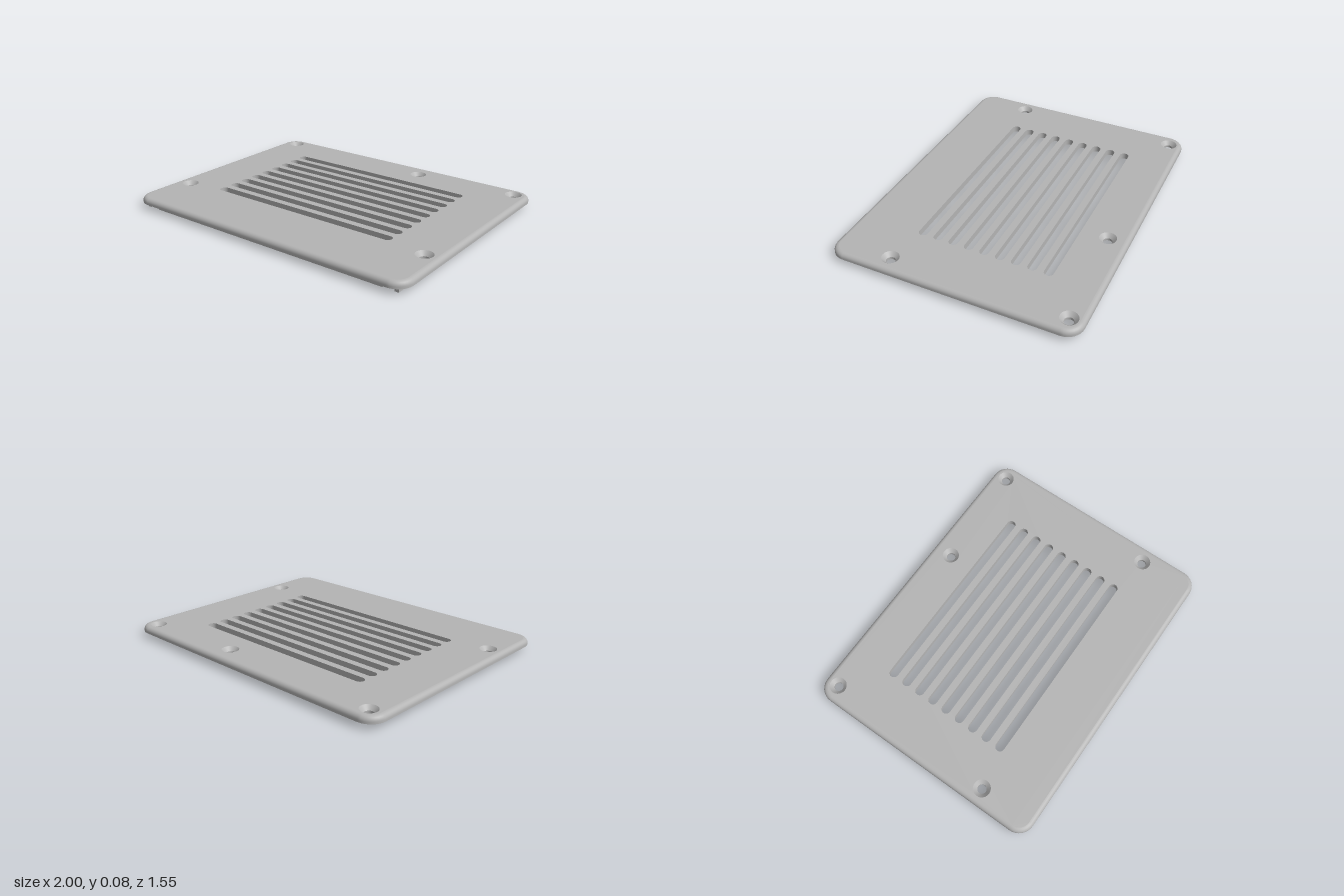
import * as THREE from 'three';

const BOTTOM = 0.035, TOP = 0.075, FILLET = 0.028;

// Rounded rectangle outline as points (x, -z), counter-clockwise
function outline(cx, cz, hx, hz, r, steps = 8) {
  const pts = [];
  [[1, 1], [-1, 1], [-1, -1], [1, -1]].forEach(([sx, sy], q) => {
    for (let k = 0; k <= steps; k++) {
      const a = (q + k / steps) * Math.PI / 2;
      pts.push(new THREE.Vector2(
        cx + sx * (hx - r) + r * Math.cos(a),
        -cz + sy * (hz - r) + r * Math.sin(a)));
    }
  });
  return pts.filter((p, i) => p.distanceTo(pts[(i + 1) % pts.length]) > 1e-5);
}

// Wall through stacked outlines; rising levels face outward, falling levels inward
function wall(levels) {
  const n = levels[0].pts.length, pos = [], idx = [];
  for (const { pts, y } of levels) for (const p of pts) pos.push(p.x, y, -p.y);
  for (let l = 0; l < levels.length - 1; l++) {
    for (let i = 0; i < n; i++) {
      const a = l * n + i, b = l * n + (i + 1) % n;
      idx.push(a, b, b + n, a, b + n, a + n);
    }
  }
  const g = new THREE.BufferGeometry();
  g.setAttribute('position', new THREE.Float32BufferAttribute(pos, 3));
  g.setIndex(idx);
  g.computeVertexNormals();
  return g;
}

// Flat face with openings, looking up (side 1) or down (side -1)
function face(outer, holes, y, side) {
  const flip = pts => pts.map(p => new THREE.Vector2(p.x, p.y * side));
  const s = new THREE.Shape(flip(outer));
  s.holes = holes.map(h => new THREE.Path(flip(h)));
  return new THREE.ShapeGeometry(s).rotateX(-side * Math.PI / 2).translate(0, y, 0);
}

export function createModel() {
  const group = new THREE.Group();
  const grey = new THREE.MeshStandardMaterial({ color: 0xb4b4b4 });
  grey.name = 'grey';
  const add = (name, geo) => {
    const m = new THREE.Mesh(geo, grey);
    m.name = name;
    group.add(m);
    return m;
  };

  const plate = inset => outline(0, 0, 1 - inset, 0.777 - inset, 0.1 - inset);
  const circle = (x, z, r) => outline(x, z, r, r, r);

  // Vent slots and countersunk screw holes
  const slots = [];
  for (let i = 0; i < 9; i++) slots.push(outline(-0.003, -0.454 + i * 0.101, 0.662, 0.029, 0.029));
  const screws = [[-0.9, -0.687], [0.9, -0.687], [-0.9, 0.41], [0.9, 0.41], [0.217, -0.65]];
  const wide = screws.map(([x, z]) => circle(x, z, 0.053));
  const narrow = screws.map(([x, z]) => circle(x, z, 0.028));

  // Plate: rounded rim, top and underside
  const rim = [{ pts: plate(0), y: BOTTOM }];
  for (let k = 0; k <= 6; k++) {
    const a = k / 6 * Math.PI / 2;
    rim.push({ pts: plate(FILLET * (1 - Math.cos(a))), y: TOP - FILLET * (1 - Math.sin(a)) });
  }
  add('plateRim', wall(rim));
  add('plateTop', face(plate(FILLET), [...slots, ...wide], TOP, 1));
  add('plateUnderside', face(plate(0), [...slots, ...narrow], BOTTOM, -1));

  // Walls of the openings
  slots.forEach(pts => add('slotWall', wall([{ pts, y: TOP }, { pts, y: BOTTOM }])));
  const seat = TOP - 0.025;
  screws.forEach((_, i) => {
    add('countersink', wall([{ pts: wide[i], y: TOP }, { pts: narrow[i], y: seat }]));
    add('screwHole', wall([{ pts: narrow[i], y: seat }, { pts: narrow[i], y: BOTTOM }]));
  });

  // Locating ribs below the plate, with gaps at the screws
  const rib = (name, x0, x1, z0, z1) =>
    add(name, new THREE.BoxGeometry(x1 - x0, BOTTOM, z1 - z0))
      .position.set((x0 + x1) / 2, BOTTOM / 2, (z0 + z1) / 2);
  rib('frontRib', -0.85, 0.85, 0.705, 0.73);
  rib('backRib', -0.85, 0.85, -0.727, -0.702);
  for (const x of [-0.947, 0.922]) {
    rib('sideRib', x, x + 0.025, -0.635, 0.37);
    rib('sideRibFront', x, x + 0.025, 0.46, 0.73);
  }
  return group;
}
